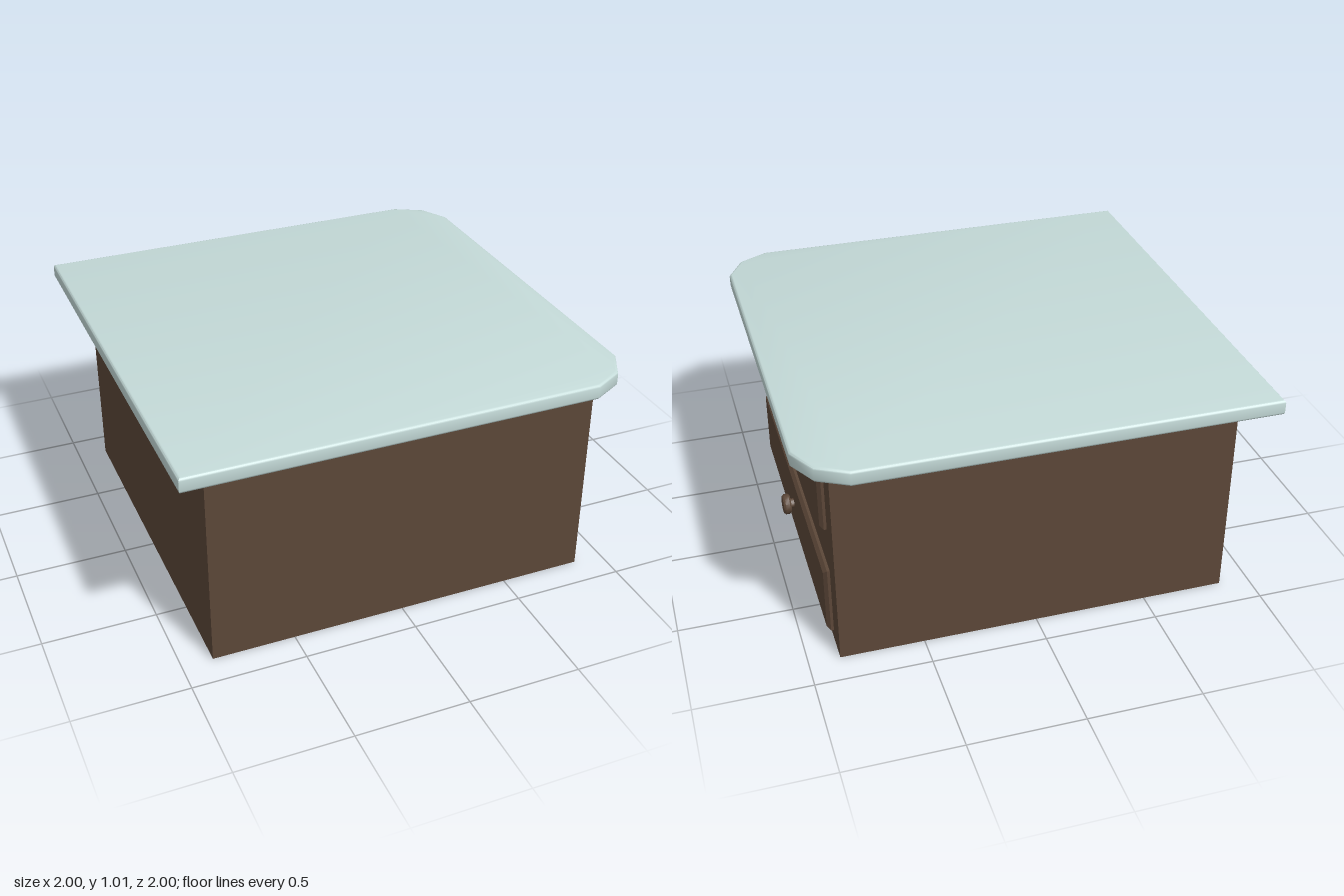
import * as THREE from 'three';
import { toCreasedNormals } from 'three/addons/utils/BufferGeometryUtils.js';

const wood = new THREE.MeshStandardMaterial({ color: 0x5c4738 });
const stone = new THREE.MeshStandardMaterial({ color: 0xc4dad8 });

function addMesh(parent, name, geometry, material) {
  const mesh = new THREE.Mesh(geometry, material);
  mesh.name = name;
  parent.add(mesh);
  return mesh;
}

// Slab from an outline, with rounded or chamfered rims on both faces
function slab(points, thickness, bevel, segments) {
  const shape = new THREE.Shape(points.map(([x, y]) => new THREE.Vector2(x, y)));
  const geometry = new THREE.ExtrudeGeometry(shape, {
    depth: thickness - 2 * bevel,
    bevelEnabled: true,
    bevelThickness: bevel,
    bevelSize: bevel,
    bevelOffset: -bevel,
    bevelSegments: segments,
  });
  return geometry.translate(0, 0, bevel);
}

// Drawer panel with a turned knob, facing +x
function createDrawer(name) {
  const drawer = new THREE.Group();
  drawer.name = name;
  const w = 0.745, h = 0.158;
  const panel = slab([[-w, -h], [w, -h], [w, h], [-w, h]], 0.06, 0.015, 1);
  panel.rotateY(Math.PI / 2).translate(-0.03, 0, 0);
  addMesh(drawer, 'drawerPanel', panel, wood);

  // Knob profile: stem, then a wider rounded head
  const profile = [[0.022, 0.02], [0.022, 0.046], [0.04, 0.046], [0.047, 0.053],
    [0.047, 0.072], [0.04, 0.081], [0, 0.083]].map(([r, y]) => new THREE.Vector2(r, y));
  const knob = new THREE.LatheGeometry(profile, 12).rotateZ(-Math.PI / 2);
  addMesh(drawer, 'knob', toCreasedNormals(knob, 0.7), wood);
  return drawer;
}

export function createModel() {
  const model = new THREE.Group();
  model.name = 'drawerCabinet';

  const body = addMesh(model, 'body', new THREE.BoxGeometry(1.73, 0.95, 1.73), wood);
  body.position.y = 0.475;

  // Worktop: square at the back, clipped corners on the drawer side
  const outline = [[-1, -1], [0.8, -1], [0.93, -0.93], [1, -0.8],
    [1, 0.8], [0.93, 0.93], [0.8, 1], [-1, 1]];
  const top = slab(outline, 0.068, 0.012, 3).rotateX(-Math.PI / 2);
  addMesh(model, 'worktop', toCreasedNormals(top, 0.7), stone).position.y = 0.944;

  [['lowerDrawer', 0.208], ['upperDrawer', 0.737]].forEach(([name, y]) => {
    const drawer = createDrawer(name);
    drawer.position.set(0.862, y, 0);
    model.add(drawer);
  });

  return model;
}
